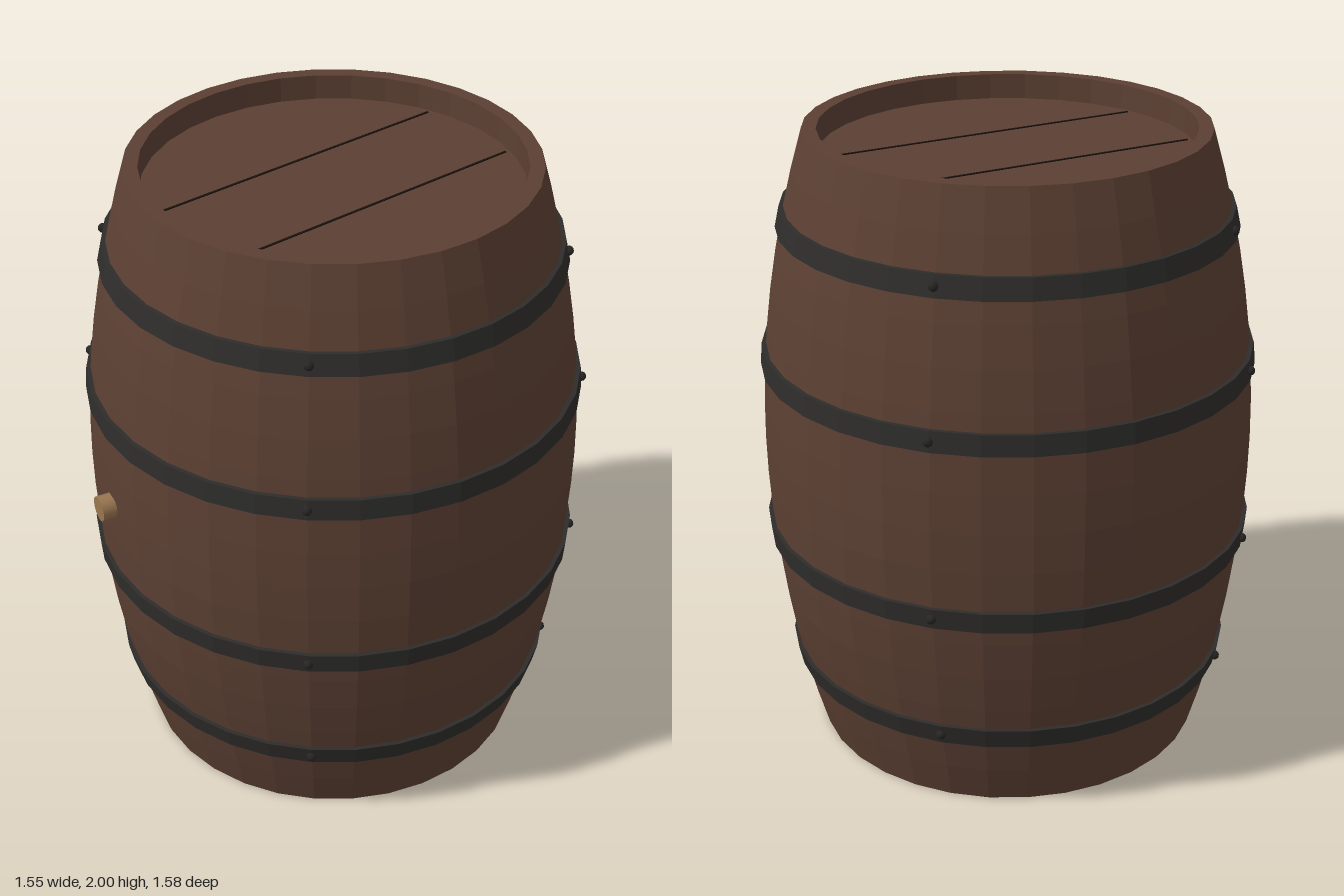
import * as THREE from 'three';

const SIDES = 32;
const RIM_INNER = 0.575;
const HEAD_DEPTH = 0.08;

// Bulging outline of the barrel: radius at height y
const radiusAt = (y) => 0.62 + 0.152 * (1 - (y - 1) ** 2);

const material = (color, options = {}) => new THREE.MeshStandardMaterial({ color, ...options });

function addMesh(parent, name, geometry, mat) {
  const mesh = new THREE.Mesh(geometry, mat);
  mesh.name = name;
  parent.add(mesh);
  return mesh;
}

const lathe = (points) =>
  new THREE.LatheGeometry(points.map(([r, y]) => new THREE.Vector2(r, y)), SIDES);

export function createModel() {
  const model = new THREE.Group();
  model.name = 'barrel';
  const barrel = new THREE.Group();
  barrel.name = 'barrelBody';
  barrel.position.z = -0.018; // the bung sticks out in front
  model.add(barrel);

  const wood = material(0x5c4033, { flatShading: true });
  const iron = material(0x2e2d2b, { flatShading: true });
  const rivetIron = material(0x262524);
  const seam = material(0x1a110c);
  const cork = material(0x9a7650);

  // Staves: outer bulge with rims and short inner walls at both ends
  const profile = [[RIM_INNER, HEAD_DEPTH + 0.01], [RIM_INNER, 0]];
  for (let i = 0; i <= 16; i++) profile.push([radiusAt(i / 8), i / 8]);
  profile.push([RIM_INNER, 2], [RIM_INNER, 2 - HEAD_DEPTH - 0.01]);
  addMesh(barrel, 'staves', lathe(profile), wood);

  // Recessed heads, each with two dark plank seams
  for (const [name, y, out] of [['bottomHead', HEAD_DEPTH, -1], ['topHead', 2 - HEAD_DEPTH, 1]]) {
    const head = new THREE.Group();
    head.name = name;
    head.position.y = y;
    barrel.add(head);
    const disc = addMesh(head, 'headBoards', new THREE.CylinderGeometry(RIM_INNER, RIM_INNER, 0.04, SIDES), wood);
    disc.position.y = -out * 0.02;
    for (const x of [-0.177, 0.177]) {
      const line = addMesh(head, 'plankSeam', new THREE.BoxGeometry(0.007, 0.006, 1.06), seam);
      line.position.x = x;
    }
  }

  // Iron hoops following the bulge, with four rivets each
  const rivetGeometry = new THREE.SphereGeometry(0.015, 10, 8);
  for (const y of [0.27, 0.713, 1.287, 1.73]) {
    const hoop = new THREE.Group();
    hoop.name = 'hoop';
    barrel.add(hoop);
    const low = y - 0.033, high = y + 0.033;
    addMesh(hoop, 'hoopBand', lathe([
      [radiusAt(low) - 0.01, low], [radiusAt(low) + 0.013, low],
      [radiusAt(high) + 0.013, high], [radiusAt(high) - 0.01, high],
    ]), iron);
    for (let k = 0; k < 4; k++) {
      const angle = Math.PI / 4 + k * Math.PI / 2;
      const r = radiusAt(y) + 0.014;
      addMesh(hoop, 'rivet', rivetGeometry, rivetIron)
        .position.set(r * Math.sin(angle), y, r * Math.cos(angle));
    }
  }

  // Wooden bung pointing radially outward
  const bungPivot = new THREE.Group();
  bungPivot.name = 'bung';
  bungPivot.position.y = 1;
  bungPivot.rotation.y = -0.2;
  barrel.add(bungPivot);
  const bung = addMesh(bungPivot, 'bungPlug', new THREE.CylinderGeometry(0.04, 0.04, 0.08, 16), cork);
  bung.rotation.x = Math.PI / 2;
  bung.position.z = 0.773;

  return model;
}
